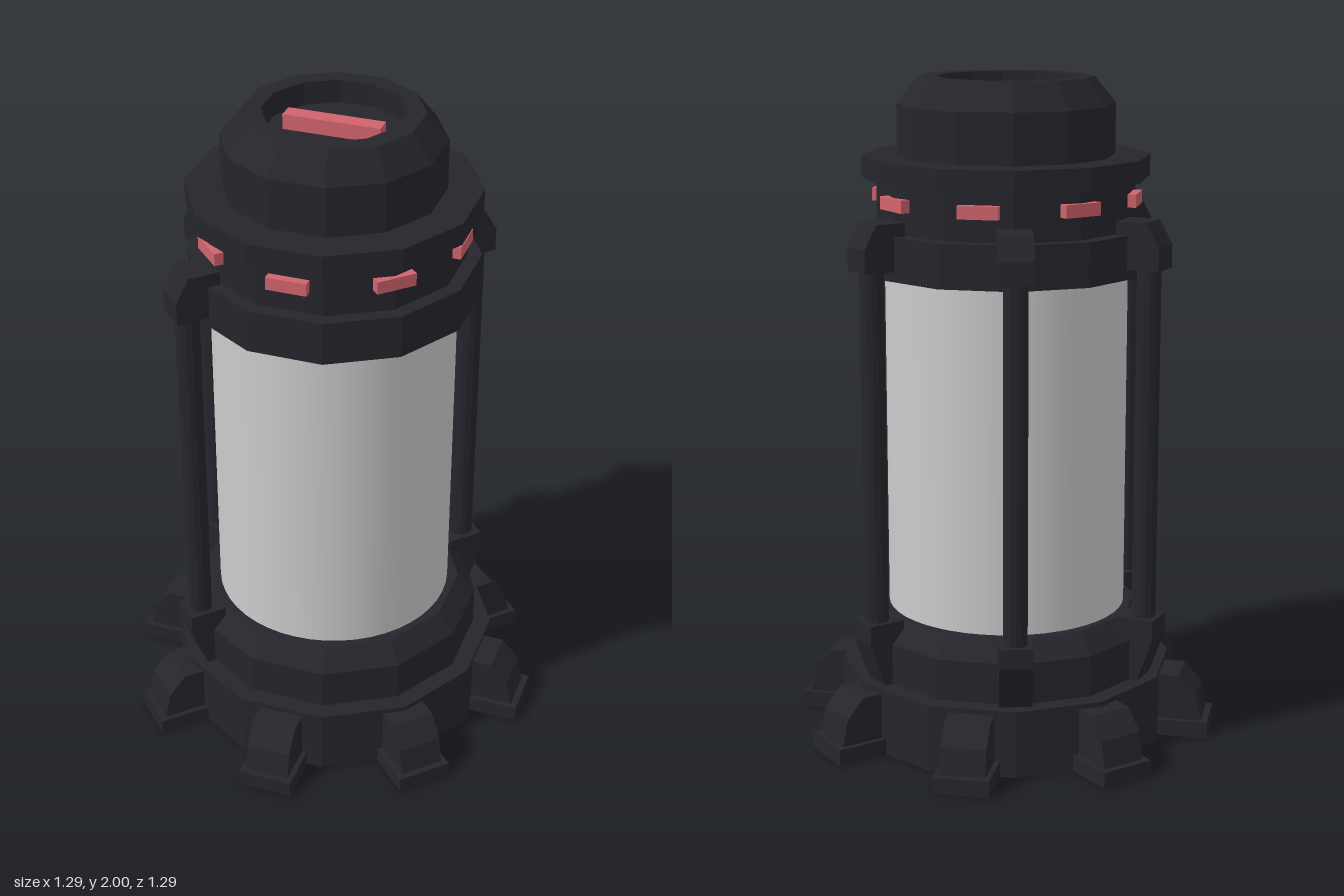
import * as THREE from 'three';

const dark = new THREE.MeshStandardMaterial({ color: 0x26252c, flatShading: true });
const red = new THREE.MeshStandardMaterial({ color: 0xd0636c, flatShading: true });
const grey = new THREE.MeshStandardMaterial({ color: 0xcccccc });

const SIDES = 12;

function mesh(name, geometry, material) {
  const m = new THREE.Mesh(geometry, material);
  m.name = name;
  return m;
}

// Twelve-sided turned part from [radius, height] pairs
function turned(name, profile) {
  const points = profile.map(([r, y]) => new THREE.Vector2(r, y));
  return mesh(name, new THREE.LatheGeometry(points, SIDES), dark);
}

// Side profile in (radius, height), extruded to a centred width
function slab(name, profile, width) {
  const shape = new THREE.Shape(profile.map(([r, y]) => new THREE.Vector2(r, y)));
  const geometry = new THREE.ExtrudeGeometry(shape, { depth: width, bevelEnabled: false });
  geometry.translate(0, 0, -width / 2);
  return mesh(name, geometry, dark);
}

function box(name, size, position, material) {
  const m = mesh(name, new THREE.BoxGeometry(...size), material);
  m.position.set(...position);
  return m;
}

// Parts built along +x, then turned about the vertical axis
function spoke(name, degrees, ...parts) {
  const g = new THREE.Group();
  g.name = name;
  g.add(...parts);
  g.rotation.y = THREE.MathUtils.degToRad(degrees);
  return g;
}

export function createModel() {
  const model = new THREE.Group();
  model.name = 'lantern';

  // Stepped base ring, open underneath
  model.add(turned('base', [
    [0.365, 0], [0.51, 0], [0.51, 0.205], [0.455, 0.205],
    [0.455, 0.33], [0.4, 0.39], [0.35, 0.39],
  ]));

  // Smooth glass cylinder
  const glass = mesh('glass', new THREE.CylinderGeometry(0.365, 0.365, 1.436, 48), grey);
  glass.position.y = 0.722;
  model.add(glass);

  // Collar, lip and domed cap with a recessed top
  model.add(turned('cap', [
    [0.34, 1.43], [0.43, 1.43], [0.43, 1.56], [0.387, 1.56], [0.387, 1.705],
    [0.43, 1.705], [0.43, 1.77], [0.325, 1.77], [0.325, 1.92], [0.26, 2],
    [0.205, 2], [0.205, 1.93], [0, 1.93],
  ]));

  // Diagonal bar in the cap recess
  const bar = box('topBar', [0.29, 0.05, 0.05], [0, 1.95, 0], red);
  bar.rotation.y = -Math.PI / 4;
  model.add(bar);

  // Eight feet and eight collar lights
  for (let i = 0; i < 8; i++) {
    model.add(spoke('foot', i * 45,
      box('footPad', [0.185, 0.05, 0.168], [0.5525, 0.025, 0], dark),
      slab('footBody', [
        [0.45, 0.02], [0.625, 0.02], [0.625, 0.05], [0.608, 0.13], [0.555, 0.19], [0.45, 0.19],
      ], 0.136)));
    model.add(spoke('light', i * 45,
      box('lightPanel', [0.05, 0.038, 0.12], [0.374, 1.647, 0], red)));
  }

  // Four posts with brackets: left, right and two at the back
  for (const angle of [0, 60, 120, 180]) {
    const rod = mesh('rod', new THREE.CylinderGeometry(0.036, 0.036, 1.14, 12), dark);
    rod.position.set(0.465, 0.93, 0);
    model.add(spoke('post', angle,
      rod,
      slab('lowerBracket', [
        [0.4, 0.2], [0.465, 0.2], [0.515, 0.34], [0.515, 0.4], [0.4, 0.4],
      ], 0.1),
      slab('upperBracket', [
        [0.38, 1.46], [0.515, 1.46], [0.515, 1.53], [0.475, 1.6], [0.38, 1.6],
      ], 0.1)));
  }

  return model;
}
